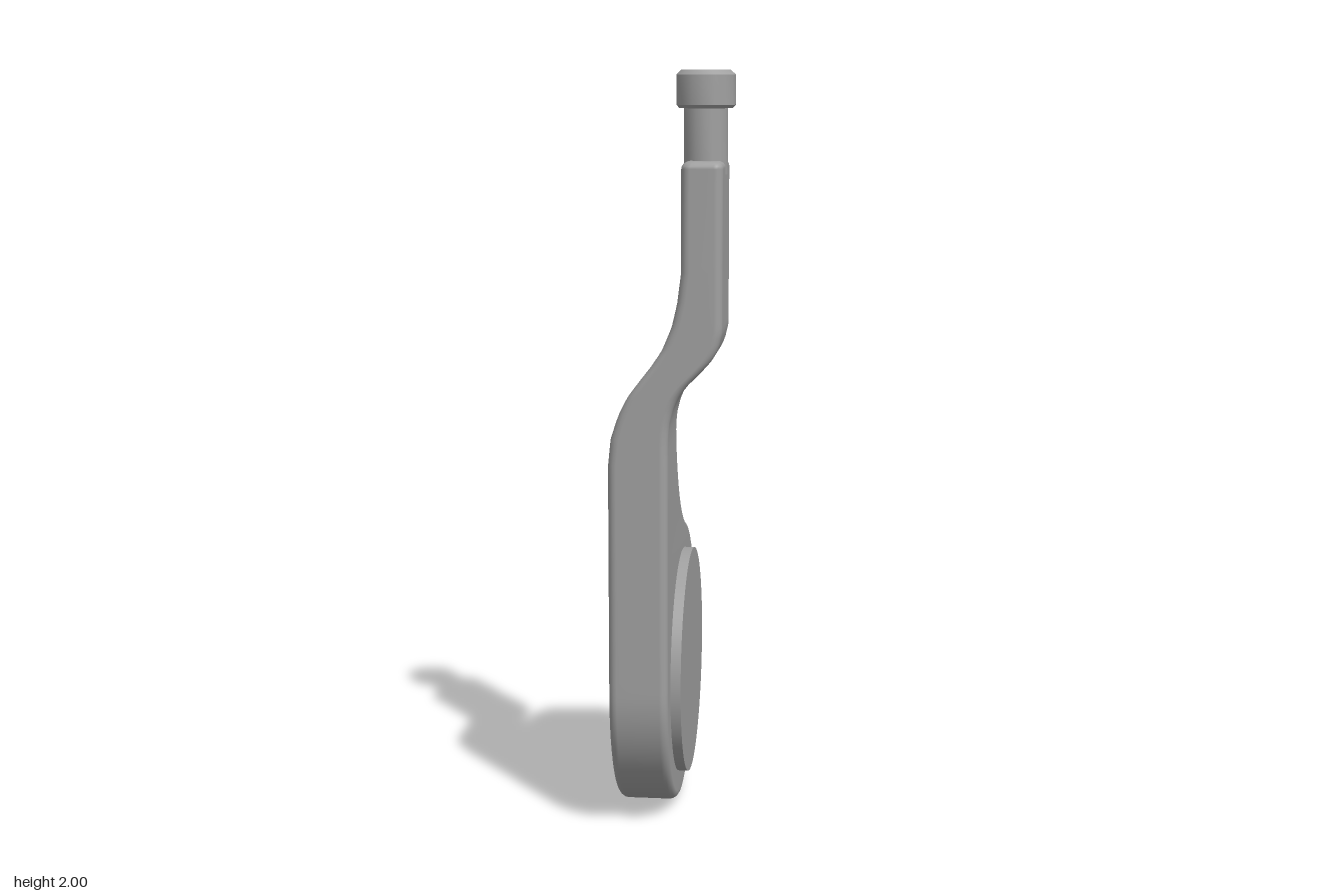
import * as THREE from 'three';
import { toCreasedNormals } from 'three/addons/utils/BufferGeometryUtils.js';

// outline: round lower end, straight left edge, concave sweep into the stem
const CX = 0.03, CY = 0.39, RAD = 0.388, LEFT = CX - RAD, STEM = -0.125, FILLET = 0.4;
const FX = STEM + FILLET;
const FY = CY + Math.sqrt((RAD + FILLET) ** 2 - (FX - CX) ** 2);
const TANGENT = Math.atan2(FY - CY, FX - CX);
const TOP = 1.775, ROUND = 0.022, STEPS = 5;

// front and back faces as [y, z]
const FRONT = [[1.06, 0.022], [1.11, 0.025], [1.15, 0.035], [1.18, 0.048], [1.21, 0.07], [1.25, 0.11],
  [1.28, 0.136], [1.31, 0.151], [1.35, 0.16]];
const BACK = [[1.0, -0.133], [1.07, -0.126], [1.13, -0.107], [1.18, -0.082], [1.22, -0.052], [1.26, -0.021],
  [1.3, 0.006], [1.36, 0.031], [1.42, 0.045], [1.5, 0.055]];

function sample(table, y) {
  if (y <= table[0][0]) return table[0][1];
  for (let i = 1; i < table.length; i++) {
    const [y0, z0] = table[i - 1], [y1, z1] = table[i];
    if (y <= y1) return z0 + (z1 - z0) * (y - y0) / (y1 - y0);
  }
  return table[table.length - 1][1];
}

// one row: height, right edge with its outward normal, extra inset
function makeRows() {
  const rows = [];
  for (let i = 0; i <= 44; i++) {
    const a = -Math.PI / 2 + (TANGENT + Math.PI / 2) * i / 44;
    rows.push({ y: CY + RAD * Math.sin(a), x: CX + RAD * Math.cos(a), nx: Math.cos(a), ny: Math.sin(a), e: 0 });
  }
  for (let i = 1; i <= 22; i++) {
    const a = TANGENT * (1 - i / 22);
    rows.push({ y: FY - FILLET * Math.sin(a), x: FX - FILLET * Math.cos(a), nx: Math.cos(a), ny: Math.sin(a), e: 0 });
  }
  const straight = (y, e) => rows.push({ y, x: STEM, nx: 1, ny: 0, e });
  for (let y = FY + 0.015; y < 1.52; y += 0.015) straight(y, 0);
  for (let i = 0; i <= 4; i++) {
    const a = i / 4 * Math.PI / 2;
    straight(TOP - 0.018 * (1 - Math.sin(a)), 0.018 * (1 - Math.cos(a)));
  }
  return rows;
}

function armGeometry() {
  const pos = [], index = [], rows = makeRows();
  for (const r of rows) {
    let lx = LEFT, lnx = -1, lny = 0;
    if (r.y < CY) { lx = 2 * CX - r.x; lnx = -r.nx; lny = r.ny; }
    const add = (x, nx, ny, a, front) => {
      const inset = ROUND * (1 - Math.sin(a)) + r.e, depth = ROUND * (1 - Math.cos(a)) + r.e;
      const y = r.y - ny * inset;
      pos.push(x - nx * inset, y, front ? sample(FRONT, y) - depth : sample(BACK, y) + depth);
    };
    const arc = k => k / (STEPS - 1) * Math.PI / 2;
    for (let k = 0; k < STEPS; k++) add(r.x, r.nx, r.ny, arc(k), true);
    for (let k = STEPS - 1; k >= 0; k--) add(r.x, r.nx, r.ny, arc(k), false);
    for (let k = 0; k < STEPS; k++) add(lx, lnx, lny, arc(k), false);
    for (let k = STEPS - 1; k >= 0; k--) add(lx, lnx, lny, arc(k), true);
  }
  const n = STEPS * 4;
  for (let i = 0; i < rows.length - 1; i++) {
    for (let j = 0; j < n; j++) {
      const a = i * n + j, b = i * n + (j + 1) % n;
      index.push(a, b, b + n, a, b + n, a + n);
    }
  }
  // flat top of the stem, on its own copy of the last row
  const cap = pos.length / 3;
  pos.push(...pos.slice(-n * 3));
  for (let j = 1; j < n - 1; j++) index.push(cap, cap + j, cap + j + 1);
  const g = new THREE.BufferGeometry();
  g.setAttribute('position', new THREE.Float32BufferAttribute(pos, 3));
  g.setIndex(index);
  g.computeVertexNormals();
  return g;
}

export function createModel() {
  const grey = new THREE.MeshStandardMaterial({ color: 0xa0a0a0 });
  grey.name = 'plain grey';
  const model = new THREE.Group();
  model.name = 'pinnedLever';
  const add = (name, geometry, x, y, z) => {
    const mesh = new THREE.Mesh(geometry, grey);
    mesh.name = name;
    mesh.position.set(x, y, z);
    model.add(mesh);
    return mesh;
  };

  add('leverArm', armGeometry(), 0, 0, 0);

  // raised round pad on the front
  const pad = add('roundPad', new THREE.CylinderGeometry(0.309, 0.309, 0.04, 64), 0.026, 0.39, 0.029);
  pad.rotation.x = Math.PI / 2;

  // headed pin on top of the stem
  const profile = [[0, 1.74], [0.056, 1.74], [0.056, 1.905], [0.068, 1.905], [0.075, 1.913],
    [0.075, 1.988], [0.062, 2], [0, 2]].map(p => new THREE.Vector2(...p));
  add('headedPin', toCreasedNormals(new THREE.LatheGeometry(profile, 16), 0.5), -0.242, 0, 0.108);

  model.rotation.y = Math.PI / 6;
  return model;
}
